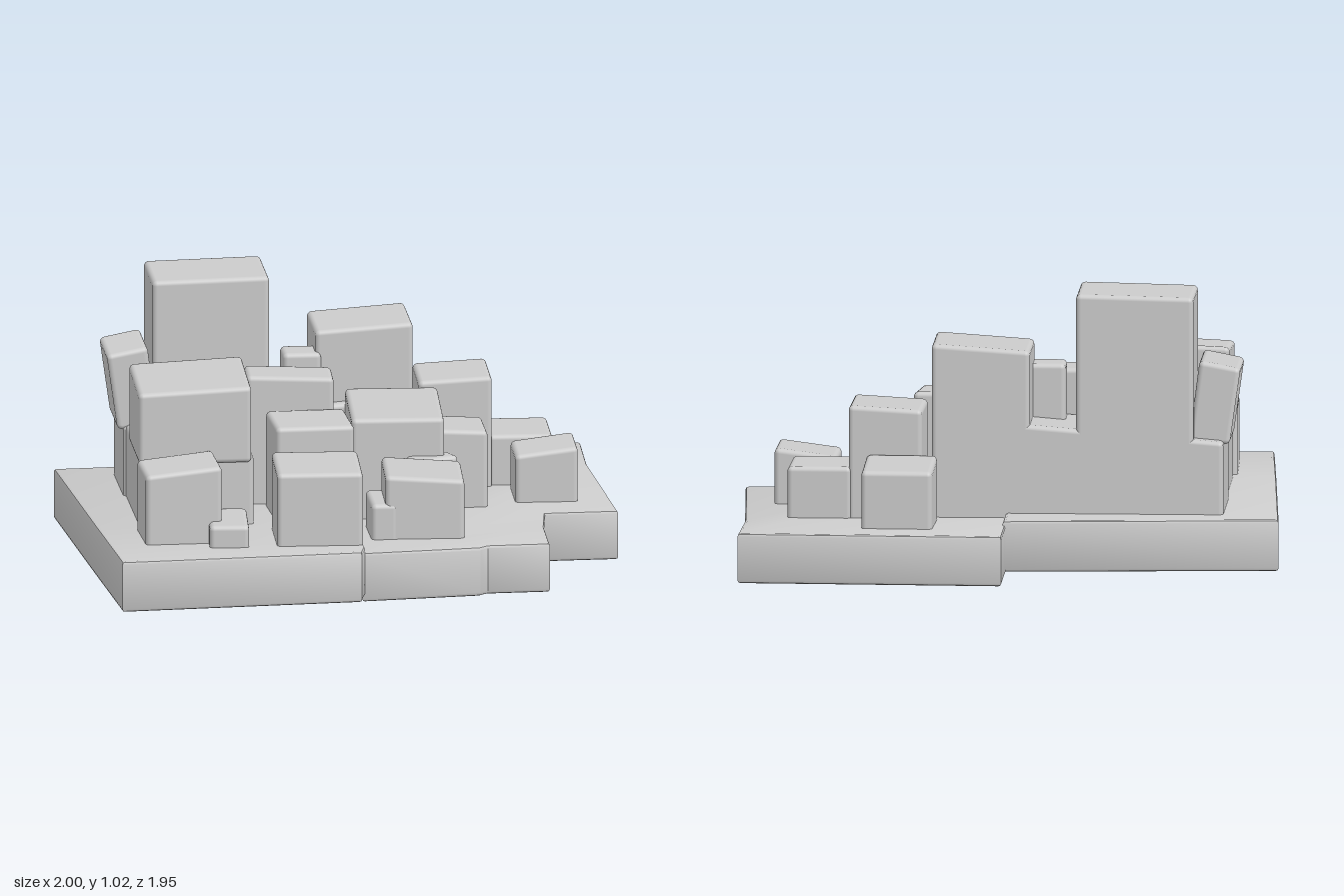
import * as THREE from 'three';
import { RoundedBoxGeometry } from 'three/addons/geometries/RoundedBoxGeometry.js';
import { toCreasedNormals } from 'three/addons/utils/BufferGeometryUtils.js';

const material = new THREE.MeshStandardMaterial({ color: 0xcccccc });

// Ground slab: outline in (x, z), extruded up with a soft edge, gently tilted along z
function slab(name, outline, bottom, top, tilt) {
  const bevel = 0.012;
  const shape = new THREE.Shape(outline.map(([x, z]) => new THREE.Vector2(x, -z)));
  let geo = new THREE.ExtrudeGeometry(shape, {
    depth: top - bottom - 2 * bevel,
    bevelSize: bevel, bevelThickness: bevel, bevelOffset: -bevel, bevelSegments: 2,
  });
  geo.rotateX(-Math.PI / 2).translate(0, bottom + bevel, 0);
  const p = geo.attributes.position;
  for (let i = 0; i < p.count; i++) p.setY(i, p.getY(i) + tilt * p.getZ(i));
  geo = toCreasedNormals(geo, 0.7);
  const mesh = new THREE.Mesh(geo, material);
  mesh.name = name;
  return mesh;
}

// Rounded block between two corners; its roof slopes by riseX / riseZ,
// its top leans by leanX / leanZ and it can turn about its own axis
function block(name, [x0, x1], [y0, y1], [z0, z1],
  { riseX = 0, riseZ = 0, leanX = 0, leanZ = 0, turn = 0 } = {}) {
  const w = x1 - x0, h = y1 - y0, d = z1 - z0;
  const geo = new RoundedBoxGeometry(w, h, d, 3, Math.min(0.018, w / 4, h / 4, d / 4));
  const p = geo.attributes.position;
  for (let i = 0; i < p.count; i++) {
    const x = p.getX(i), y = p.getY(i), z = p.getZ(i);
    const t = y / h + 0.5;
    p.setXYZ(i, x + leanX * t, y + t * (riseX * x / w + riseZ * z / d), z + leanZ * t);
  }
  geo.rotateY(turn);
  const mesh = new THREE.Mesh(geo, material);
  mesh.position.set((x0 + x1) / 2, (y0 + y1) / 2, (z0 + z1) / 2);
  mesh.name = name;
  return mesh;
}

export function createModel() {
  const model = new THREE.Group();
  model.name = 'hillVillage';

  // Two ground slabs meeting along the middle
  model.add(slab('groundRight', [
    [-1, -0.63], [0.01, -0.7], [0.01, 0.79], [-0.01, 0.89], [-0.9, 0.97], [-0.94, 0.35],
  ], 0.025, 0.215, 0.012));
  model.add(slab('groundLeft', [
    [0, -0.98], [0.97, -0.95], [0.96, -0.6], [1, 0.19], [0.73, 0.2],
    [0.705, 0.42], [0.7, 0.7], [0.47, 0.71], [0.44, 0.74], [0, 0.795],
  ], 0.01, 0.195, 0.006));

  // Raised terrace behind and under the upper houses
  const terrace = new THREE.Group();
  terrace.name = 'terrace';
  terrace.add(
    block('terraceBack', [-0.79, 0.28], [0.12, 0.52], [-0.52, -0.14], { riseX: 0.09 }),
    block('terraceSide', [-0.78, -0.36], [0.12, 0.48], [-0.3, 0.38]),
  );
  model.add(terrace);

  // Houses on the terrace
  const upper = new THREE.Group();
  upper.name = 'upperHouses';
  upper.add(
    block('tower', [-0.68, -0.25], [0.42, 1.015], [-0.52, -0.17], { riseX: 0.01 }),
    block('towerAnnex', [-0.81, -0.66], [0.46, 0.755], [-0.46, -0.15], { riseX: 0.03, leanX: -0.04 }),
    block('backHouse', [-0.08, 0.28], [0.4, 0.82], [-0.52, -0.18], { riseX: 0.025 }),
    block('backHouseAnnex', [-0.2, -0.06], [0.4, 0.73], [-0.3, -0.16]),
    block('sideHouse', [-0.785, -0.37], [0.455, 0.745], [0.015, 0.4], { riseX: 0.02, riseZ: -0.03 }),
    block('middleHouse', [-0.35, -0.03], [0.15, 0.69], [-0.145, 0.045], { riseX: -0.01, turn: -0.04 }),
  );
  model.add(upper);

  // Houses standing on the ground slabs
  const lower = new THREE.Group();
  lower.name = 'lowerHouses';
  lower.add(
    block('stepHouse', [-0.28, 0.01], [0.15, 0.57], [0.05, 0.34], { turn: 0.04 }),
    block('centreHouse', [0.02, 0.36], [0.13, 0.585], [-0.15, 0.24], { riseZ: -0.03, turn: -0.03 }),
    block('centreAnnex', [0.33, 0.53], [0.13, 0.485], [-0.16, 0.085], { riseX: -0.01 }),
    block('frontHouse', [-0.305, 0.01], [0.15, 0.5], [0.44, 0.77], { riseZ: -0.01, turn: -0.03 }),
    block('cornerHouse', [-0.79, -0.51], [0.15, 0.495], [0.41, 0.69], { riseX: 0.03, turn: 0.03 }),
    block('cornerStep', [-0.55, -0.405], [0.15, 0.305], [0.47, 0.77], { turn: -0.06 }),
    block('frontLeftHouse', [0.11, 0.4], [0.13, 0.435], [0.335, 0.585], { riseX: -0.02, riseZ: -0.02, turn: -0.03 }),
    block('frontLeftStep', [0.055, 0.15], [0.13, 0.33], [0.335, 0.585]),
    block('leaningSlab', [0.21, 0.39], [0.15, 0.43], [0.18, 0.27], { leanZ: 0.02, turn: 0.4 }),
    block('leftHouse', [0.31, 0.58], [0.13, 0.6], [-0.56, -0.25], { riseX: 0.015, turn: -0.02 }),
    block('leftAnnex', [0.57, 0.805], [0.13, 0.38], [-0.56, -0.27], { turn: -0.02 }),
    block('rearHouse', [0.26, 0.52], [0.13, 0.415], [-0.81, -0.56], { riseZ: 0.03, turn: -0.03 }),
    block('outerHouse', [0.64, 0.87], [0.13, 0.385], [-0.23, 0.025], { riseX: 0.03, turn: -0.02 }),
  );
  model.add(lower);
  return model;
}
